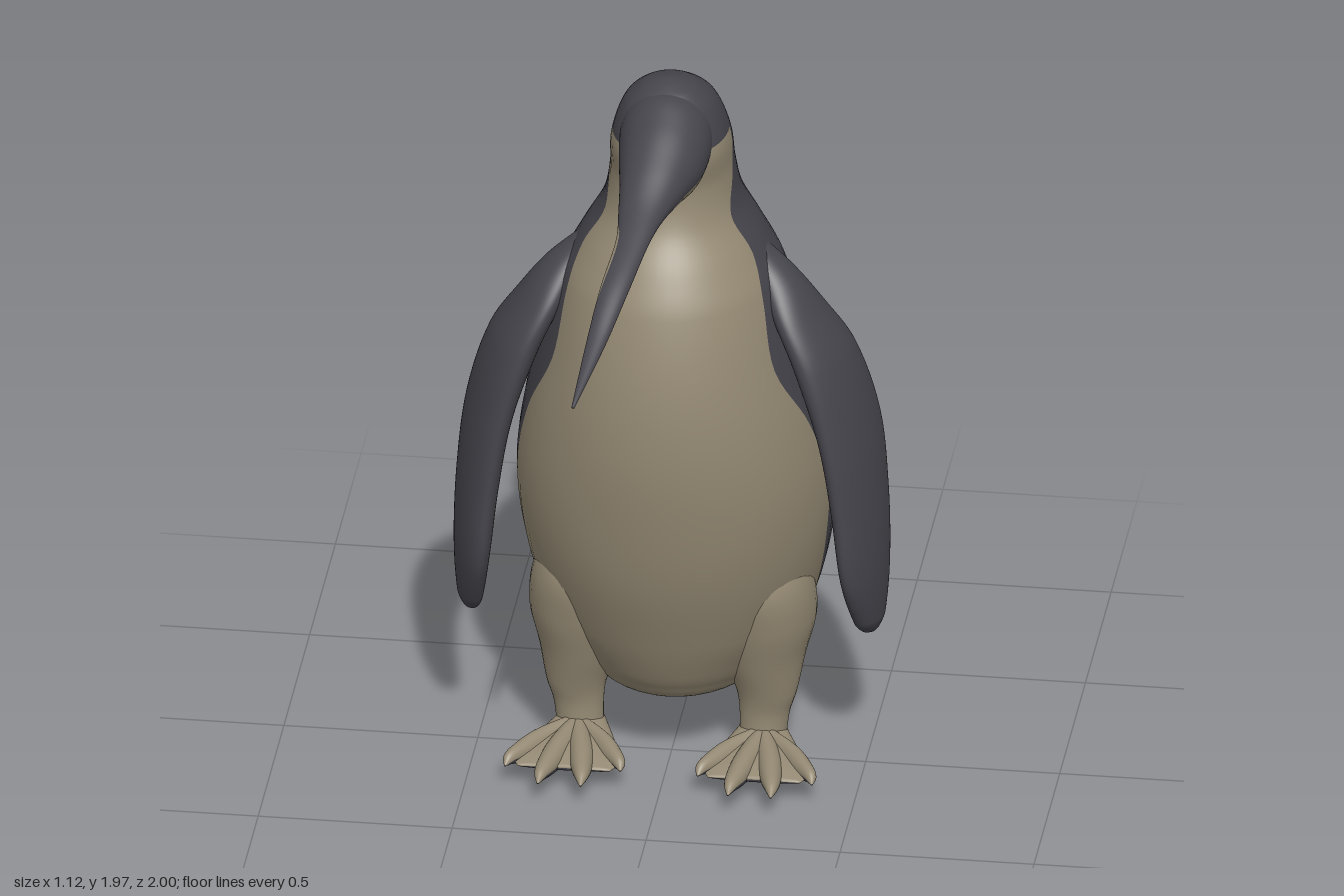
import * as THREE from 'three';

const dark = new THREE.MeshStandardMaterial({ color: 0x46454c });
dark.name = 'charcoal plumage';
const pale = new THREE.MeshStandardMaterial({ color: 0x958a74 });
pale.name = 'cream plumage';

// Smoothly fills in rows of numbers; the first column is the position along the loft.
function smooth(rows, steps = 6) {
  const slope = (i, c) => {
    const a = rows[Math.max(i - 1, 0)], b = rows[Math.min(i + 1, rows.length - 1)];
    return (b[c] - a[c]) / (b[0] - a[0]);
  };
  const out = [];
  for (let i = 0; i < rows.length - 1; i++) {
    const p = rows[i], q = rows[i + 1], d = q[0] - p[0];
    for (let s = 0; s < steps; s++) {
      const t = s / steps, t2 = t * t, t3 = t2 * t;
      out.push(p.map((v, c) => (c === 0 ? v + d * t :
        (2 * t3 - 3 * t2 + 1) * v + (t3 - 2 * t2 + t) * d * slope(i, c) +
        (3 * t2 - 2 * t3) * q[c] + (t3 - t2) * d * slope(i + 1, c))));
    }
  }
  out.push(rows[rows.length - 1]);
  return out;
}

// Closed loft. Each row holds: position, centre a, centre b, radius a, radius b, and the
// start and end angle of the first colour. place(row, angle) gives the surface point.
function loft(name, rows, place, first, second, firstAt = () => true, secondAt = () => true) {
  const N1 = 22, N2 = 34, N = N1 + N2, pos = [], idx = [[], []];
  for (const r of rows) {
    const a0 = r[5], a1 = r[6];
    for (let j = 0; j < N; j++) {
      const a = j < N1 ? a0 + (a1 - a0) * j / N1 : a1 + (a0 + 2 * Math.PI - a1) * (j - N1) / N2;
      pos.push(...place(r, a));
    }
  }
  const centre = (i) => {
    const c = [0, 0, 0];
    for (let j = 0; j < N; j++) for (let k = 0; k < 3; k++) c[k] += pos[(i * N + j) * 3 + k] / N;
    return c;
  };
  const last = rows.length - 1, c0 = centre(0), c1 = centre(last), k0 = rows.length * N;
  pos.push(...c0, ...c1);
  for (let j = 0; j < N; j++) {
    const n = (j + 1) % N;
    const slot = (i) => (j < N1 ? (firstAt(rows[i][0]) ? 0 : 1) : (secondAt(rows[i][0]) ? 1 : 0));
    for (let i = 0; i < last; i++) {
      const a = i * N + j, b = i * N + n;
      idx[slot(i)].push(a, b, a + N, b, b + N, a + N);
    }
    idx[slot(0)].push(k0, n, j);
    idx[slot(last)].push(k0 + 1, last * N + j, last * N + n);
  }
  const g = new THREE.BufferGeometry();
  g.setAttribute('position', new THREE.Float32BufferAttribute(pos, 3));
  g.setIndex([...idx[0], ...idx[1]]);
  g.addGroup(0, idx[0].length, 0);
  g.addGroup(idx[0].length, idx[1].length, 1);
  g.computeVertexNormals();
  const m = new THREE.Mesh(g, [first, second]);
  m.name = name;
  return m;
}

// Upright sections: angle 0 faces +z. Lengthwise sections: angle 0 faces down.
const upright = (r, a) => [r[1] + r[3] * Math.sin(a), r[0], r[2] + r[4] * Math.cos(a)];
const lengthwise = (r, a) => [r[1] + r[3] * Math.sin(a), r[2] - r[4] * Math.cos(a), r[0]];

// Copy of a mesh on the other side, with its winding reversed.
function mirrored(mesh, name) {
  const g = mesh.geometry.clone().scale(-1, 1, 1), ix = g.index.array;
  for (let i = 0; i < ix.length; i += 3) [ix[i], ix[i + 1]] = [ix[i + 1], ix[i]];
  g.computeVertexNormals();
  const m = new THREE.Mesh(g, mesh.material);
  m.name = name;
  return m;
}

export function createModel() {
  const model = new THREE.Group();
  model.name = 'penguin';

  // Body, neck and crown: height, front z, back z, half width, z of the colour edge
  const bodyRows = smooth([
    [0.175, -0.02, -0.34, 0.10, -0.22], [0.2, 0.08, -0.42, 0.2, -0.26],
    [0.25, 0.13, -0.47, 0.25, -0.28], [0.3, 0.16, -0.50, 0.285, -0.27],
    [0.4, 0.205, -0.54, 0.345, -0.15], [0.6, 0.28, -0.555, 0.395, -0.06],
    [0.8, 0.325, -0.545, 0.41, -0.02], [1.0, 0.35, -0.505, 0.385, 0.06],
    [1.2, 0.345, -0.45, 0.34, 0.16], [1.4, 0.305, -0.36, 0.285, 0.13],
    [1.5, 0.26, -0.31, 0.235, 0.08], [1.6, 0.2, -0.26, 0.18, 0.07],
    [1.7, 0.18, -0.22, 0.16, 0.01], [1.8, 0.2, -0.18, 0.153, 0.0],
    [1.9, 0.17, -0.115, 0.12, 0.0], [1.95, 0.12, -0.04, 0.075, 0.02],
    [1.968, 0.08, 0.01, 0.035, 0.03], [1.974, 0.055, 0.035, 0.01, 0.04],
  ]).map(([y, f, b, w, edge]) => {
    const c = (f + b) / 2, r = (f - b) / 2;
    const a = Math.acos(THREE.MathUtils.clamp((edge - c) / r, -0.95, 0.95));
    return [y, 0, c, w, r, -a, a];
  });
  model.add(loft('body', bodyRows, upright, pale, dark, (y) => y < 1.815));

  // Face and long bill, bending down and towards one side
  model.add(loft('bill', smooth([
    [-0.05, 0, 1.83, 0.11, 0.09, -1.25, 1.25], [0.1, 0, 1.83, 0.12, 0.127, -1.25, 1.25],
    [0.2, 0, 1.808, 0.11, 0.112, -1.25, 1.25], [0.3, -0.01, 1.788, 0.085, 0.074, -1.23, 1.23],
    [0.4, -0.025, 1.76, 0.06, 0.042, -1.4, 1.2], [0.5, -0.035, 1.732, 0.043, 0.025, -2.2, 1.1],
    [0.65, -0.062, 1.67, 0.037, 0.022, -2.2, 1.1], [0.8, -0.09, 1.59, 0.025, 0.016, -1.2, 1.0],
    [1.0, -0.122, 1.51, 0.004, 0.004, -1, 1],
  ]), lengthwise, pale, dark));

  // Tail: boxy sections with a ragged feather edge at the tip
  const tailPoint = (r, a) => {
    const box = (v) => Math.sign(v) * Math.abs(v) ** 0.65;
    const x = r[3] * box(Math.sin(a)), y = r[2] - r[4] * box(Math.cos(a));
    const tip = THREE.MathUtils.smoothstep(-r[0], 0.8, 1);
    const ragged = 0.04 * (x / 0.14) ** 2 + 0.018 * Math.abs(Math.sin(x * 55));
    return [x, y, r[0] + tip * ragged];
  };
  model.add(loft('tail', smooth([
    [-1.0, 0, 0.009, 0.13, 0.004, -1, 1], [-0.93, 0, 0.035, 0.15, 0.018, -1, 1],
    [-0.82, 0, 0.093, 0.16, 0.036, -1, 1], [-0.7, 0, 0.175, 0.16, 0.075, -1, 1],
    [-0.61, 0, 0.27, 0.16, 0.14, -1, 1], [-0.55, 0, 0.36, 0.165, 0.19, -1, 1],
    [-0.45, 0, 0.4, 0.17, 0.2, -1, 1], [-0.3, 0, 0.38, 0.15, 0.17, -1, 1],
  ]), tailPoint, dark, dark));

  // Flippers: flattened sections turned outward at the back, cream inside
  const turn = 0.35, cs = Math.cos(turn), sn = Math.sin(turn);
  const flipperPoint = (r, a) => {
    const u = r[3] * Math.cos(a), v = r[4] * Math.sin(a);
    return [r[1] - u * sn + v * cs, r[0], r[2] + u * cs + v * sn];
  };
  const flipper = loft('leftFlipper', smooth([
    [0.397, 0.515, 0.02, 0.012, 0.01], [0.41, 0.515, 0.025, 0.035, 0.02],
    [0.45, 0.515, 0.038, 0.066, 0.031], [0.6, 0.507, 0.065, 0.115, 0.04],
    [0.8, 0.492, 0.06, 0.132, 0.047], [1.0, 0.463, 0.05, 0.142, 0.052],
    [1.2, 0.4, 0.05, 0.13, 0.06], [1.32, 0.335, 0.045, 0.1, 0.055],
    [1.42, 0.27, 0.02, 0.06, 0.05], [1.5, 0.19, -0.02, 0.03, 0.03],
  ]).map((r) => [...r, 0.88 * Math.PI, 1.75 * Math.PI]), flipperPoint, pale, dark,
  (y) => y < 1.24);
  model.add(flipper, mirrored(flipper, 'rightFlipper'));

  // Thigh and shank, dark behind the ankle
  const leg = loft('leftLeg', smooth([
    [0.06, 0.235, 0.0, 0.06, 0.055], [0.14, 0.24, 0.0, 0.065, 0.055],
    [0.2, 0.245, 0.0, 0.078, 0.068], [0.3, 0.235, -0.02, 0.108, 0.12],
    [0.42, 0.235, -0.03, 0.135, 0.165], [0.55, 0.23, -0.01, 0.12, 0.16],
    [0.68, 0.2, 0.0, 0.08, 0.1],
  ]).map((r) => [...r, -2.1, 2.1]), upright, pale, dark, () => true, (y) => y < 0.17);
  model.add(leg, mirrored(leg, 'rightLeg'));

  // Webbed foot: dark sole and heel, cream top
  const sole = (r) => [...r, -1.45, 1.45];
  const foot = loft('leftFoot', smooth([
    [-0.085, 0.235, 0.075, 0.015, 0.02], [-0.05, 0.235, 0.065, 0.05, 0.045],
    [0.0, 0.235, 0.06, 0.072, 0.05], [0.1, 0.24, 0.06, 0.11, 0.035],
    [0.2, 0.245, 0.065, 0.138, 0.018], [0.25, 0.245, 0.065, 0.12, 0.006],
  ]).map(sole), lengthwise, dark, pale, () => true, (z) => z > -0.02);
  model.add(foot, mirrored(foot, 'rightFoot'));

  // Four clawed toes on each foot
  [[0.1, 0.25], [0.19, 0.345], [0.3, 0.345], [0.395, 0.26]].forEach(([x, z], i) => {
    const at = (t) => THREE.MathUtils.lerp(0.24, x, t ** 0.8);
    const toe = loft(`leftToe${i + 1}`, smooth([
      [0.02, 0.24, 0.065, 0.03, 0.04], [z * 0.45, at(0.45), 0.065, 0.033, 0.04],
      [z * 0.75, at(0.78), 0.072, 0.026, 0.028], [z * 0.9, at(0.94), 0.075, 0.016, 0.017],
      [z, x, 0.068, 0.003, 0.003],
    ]).map(sole), lengthwise, dark, pale);
    model.add(toe, mirrored(toe, `rightToe${i + 1}`));
  });

  return model;
}
